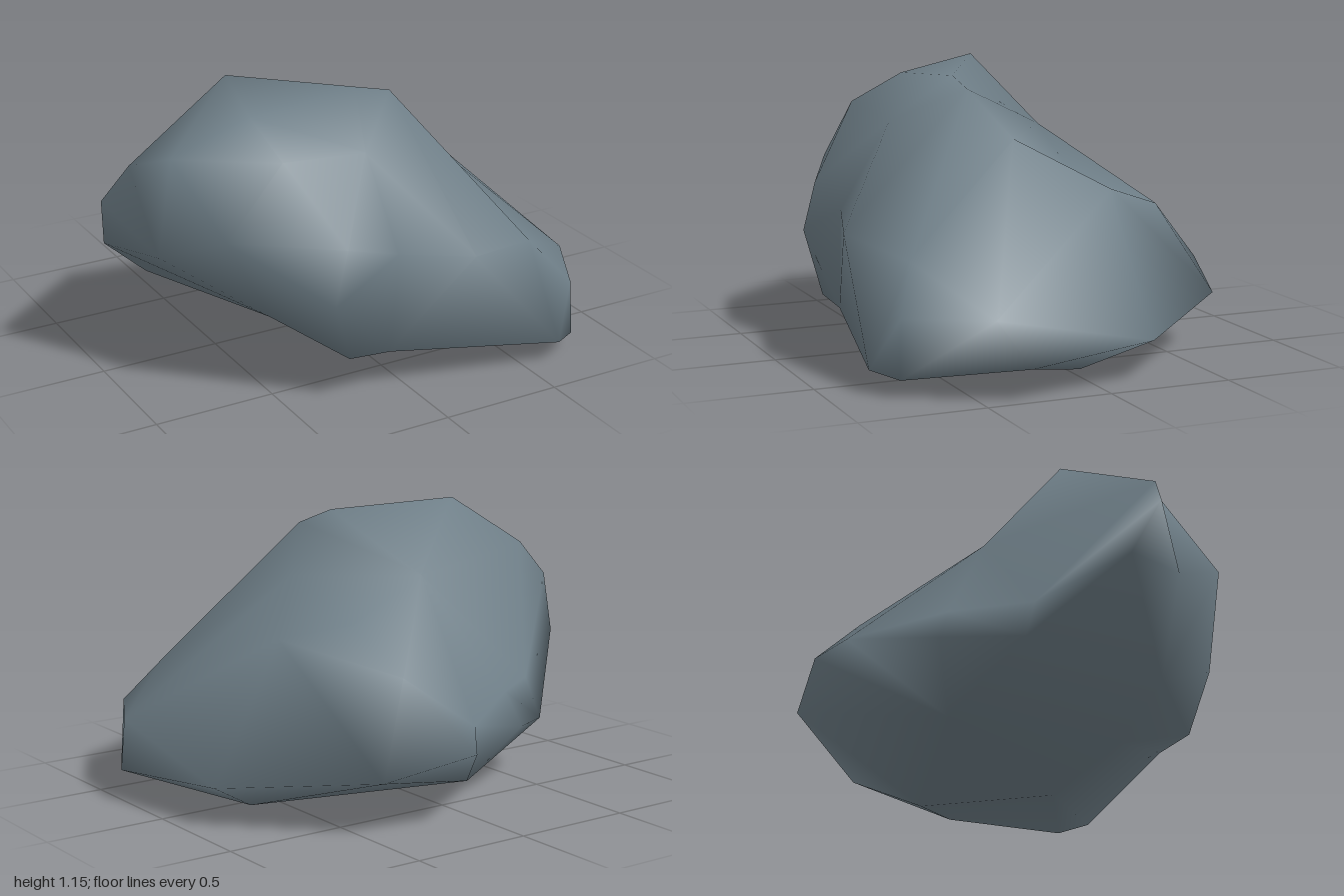
import * as THREE from 'three';
import { ConvexGeometry } from 'three/addons/geometries/ConvexGeometry.js';

// Skin a star-shaped lump: triangulate the corner directions on a sphere,
// then move each vertex out to its own corner.
function lumpGeometry(corners, centre) {
  const points = corners.map((c) => new THREE.Vector3(...c));
  const dirs = points.map((p) => p.clone().sub(centre).normalize());
  const hull = new ConvexGeometry(dirs).getAttribute('position');
  const v = new THREE.Vector3();
  const index = [];
  for (let i = 0; i < hull.count; i++) {
    v.fromBufferAttribute(hull, i);
    let best = 0;
    dirs.forEach((d, k) => {
      if (d.distanceToSquared(v) < dirs[best].distanceToSquared(v)) best = k;
    });
    index.push(best);
  }
  const geometry = new THREE.BufferGeometry().setFromPoints(points);
  geometry.setIndex(index);
  geometry.computeVertexNormals();
  return geometry;
}

export function createModel() {
  const slate = new THREE.MeshStandardMaterial({ color: 0x6e7e87 });
  slate.name = 'slateGrey';

  // crest running from the peak down to the low side
  const crest = [
    [-0.42, 1.155, -0.02], [-0.47, 1.08, 0.28], [0.02, 1.11, 0.24], [0.18, 1.07, 0.24],
    [0.32, 0.88, 0.1], [0.58, 0.7, -0.2], [0.25, 0.57, -0.57],
  ];
  // high end
  const highEnd = [
    [-0.9, 0.905, 0.1], [-1, 0.76, 0.05], [-0.95, 0.53, -0.06], [-0.85, 0.56, 0.24],
    [-0.77, 0.94, 0.2], [-0.45, 0.97, 0.51], [-0.71, 0.71, 0.55],
  ];
  // broad front with a notch at its foot
  const front = [
    [-0.07, 0.93, 0.48], [-0.29, 0.66, 0.73], [-0.05, 0.58, 0.7], [0.25, 0.54, 0.79],
    [0.6, 0.48, 0.65], [-0.36, 0.45, 0.76], [-0.27, 0.19, 0.71], [-0.08, 0.17, 0.7],
    [0.64, 0.09, 0.83],
  ];
  // low end
  const lowEnd = [
    [0.76, 0.07, 0.75], [0.75, 0.3, 0.74], [1, 0.125, 0.32], [0.92, 0.3, 0.43],
    [0.9, 0.16, -0.23], [0.46, 0.22, -0.73],
  ];
  // hollowed back
  const back = [
    [0.1, 0.3, -0.84], [-0.37, 0.28, -0.55], [-0.65, 0.23, -0.34],
    [-0.12, 0.88, -0.2], [0.22, 0.71, -0.2],
    [-0.62, 0.4, -0.28], [-0.33, 0.42, -0.49], [0.03, 0.38, -0.74],
  ];
  // underside
  const underside = [
    [-0.2, 0.045, -0.41], [0.62, 0, -0.05], [0.25, 0.02, 0.38],
    [-0.47, 0.3, 0.43], [-0.1, 0.16, 0.48],
  ];

  const rock = new THREE.Mesh(
    lumpGeometry(
      [...crest, ...highEnd, ...front, ...lowEnd, ...back, ...underside],
      new THREE.Vector3(0, 0.5, 0.12),
    ),
    slate,
  );
  rock.name = 'rock';

  const group = new THREE.Group();
  group.name = 'boulder';
  group.add(rock);
  return group;
}
